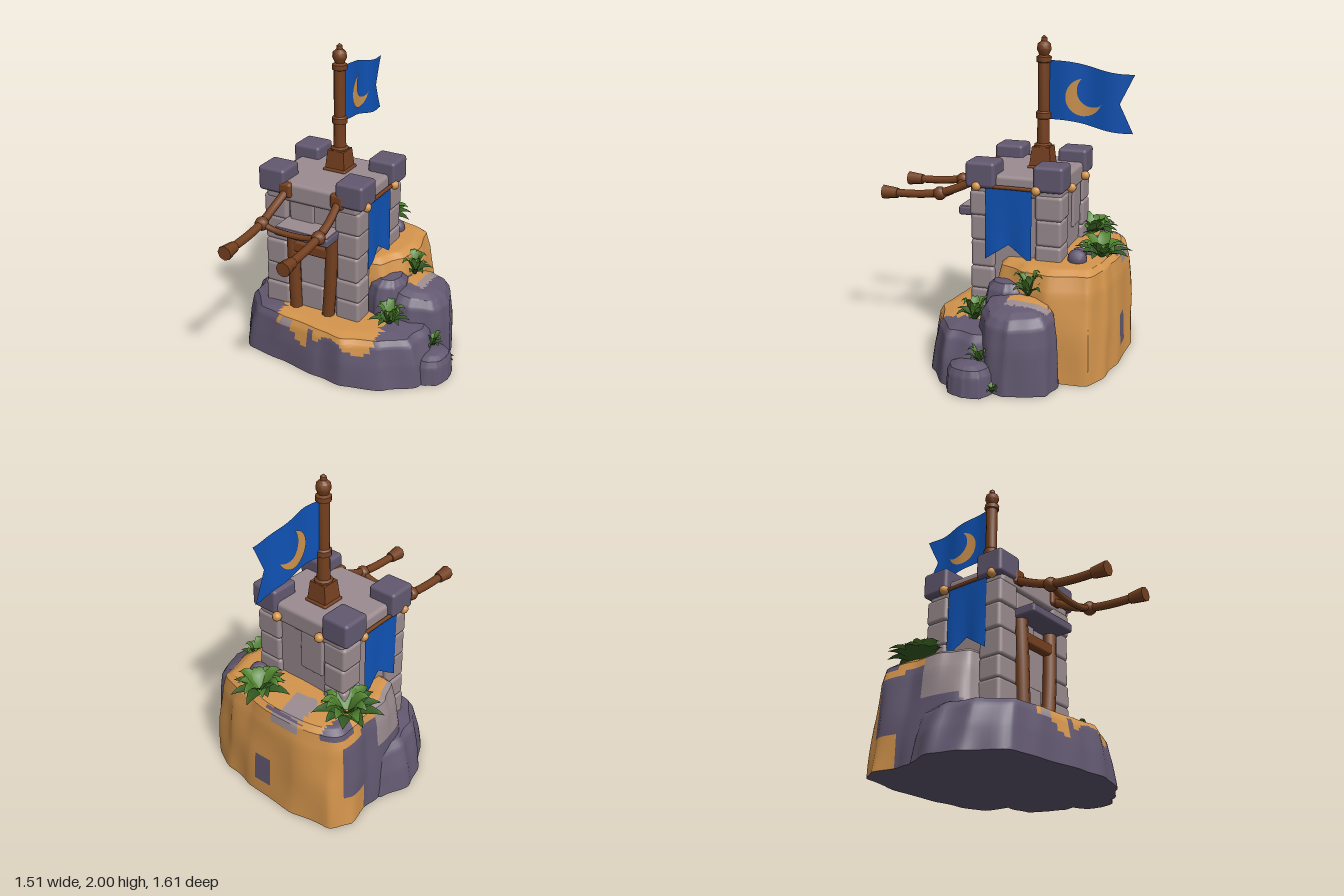
import * as THREE from 'three';
import { toCreasedNormals, mergeGeometries } from 'three/addons/utils/BufferGeometryUtils.js';
import { RoundedBoxGeometry } from 'three/addons/geometries/RoundedBoxGeometry.js';

const mat = (name, color, side = THREE.FrontSide) => {
  const m = new THREE.MeshStandardMaterial({ color, side });
  m.name = name;
  return m;
};

// Surface from rows of points: fn(u, v) -> [x, y, z]; paint(x, y, z) picks a material group
function grid(nu, nv, fn, paint) {
  const pos = [], faces = [];
  for (let j = 0; j <= nv; j++) for (let i = 0; i <= nu; i++) pos.push(...fn(i / nu, j / nv));
  for (let j = 0; j < nv; j++) for (let i = 0; i < nu; i++) {
    const a = j * (nu + 1) + i, b = a + 1, d = a + nu + 1, c = d + 1;
    const mid = k => (pos[a * 3 + k] + pos[b * 3 + k] + pos[c * 3 + k] + pos[d * 3 + k]) / 4;
    faces.push({ m: paint ? paint(mid(0), mid(1), mid(2)) : 0, t: [a, d, b, b, d, c] });
  }
  faces.sort((p, q) => p.m - q.m);
  const g = new THREE.BufferGeometry();
  g.setAttribute('position', new THREE.Float32BufferAttribute(pos, 3));
  g.setIndex(faces.flatMap(f => f.t));
  if (paint) for (let m = 0, s = 0; m < 3; m++) {
    const n = faces.filter(f => f.m === m).length * 6;
    if (n) g.addGroup(s, n, m);
    s += n;
  }
  g.computeVertexNormals();
  return g;
}

export function createModel() {
  const root = new THREE.Group();
  const slate = mat('slate', 0x625870), stone = mat('stone', 0x9a8b8f), sand = mat('sand', 0xd3944c);
  const wood = mat('wood', 0x75401f), blue = mat('blueCloth', 0x1053b6, THREE.DoubleSide);
  const gold = mat('goldCloth', 0xd0954f, THREE.DoubleSide);
  const green = mat('leafGreen', 0x4f822d, THREE.DoubleSide), darkGreen = mat('leafDark', 0x365e24, THREE.DoubleSide);
  let seed = 7;
  const rnd = () => (seed = (seed * 16807) % 2147483647) / 2147483647 - 0.5;

  const add = (name, geo, m, x = 0, y = 0, z = 0) => {
    const mesh = new THREE.Mesh(geo, m);
    mesh.name = name;
    mesh.position.set(x, y, z);
    root.add(mesh);
    return mesh;
  };
  const block = (name, m, x0, x1, y0, y1, z0, z1, r = 0.018) => add(name,
    new RoundedBoxGeometry(x1 - x0, y1 - y0, z1 - z0, 2, r), m, (x0 + x1) / 2, (y0 + y1) / 2, (z0 + z1) / 2);
  const limb = (name, pts, r, m = wood) => add(name, new THREE.TubeGeometry(
    new THREE.CatmullRomCurve3(pts.map(p => new THREE.Vector3(...p))), 14, r, 8), m);
  const ball = (name, m, x, y, z, r) => add(name, new THREE.SphereGeometry(r, 10, 7), m, x, y, z);

  // Rocks: an outline [x, z] lofted through levels [y, scale]
  const SLATE = 0, STONE = 1, SAND = 2;
  function rock(name, outline, levels, paint = () => SLATE, tilt = 0) {
    const curve = new THREE.CatmullRomCurve3(outline.map(p => new THREE.Vector3(p[0], 0, p[1])), true, 'catmullrom', 0.25);
    const cx = outline.reduce((s, p) => s + p[0], 0) / outline.length;
    const cz = outline.reduce((s, p) => s + p[1], 0) / outline.length;
    const prof = [[0, 0.002], [0, 1], ...levels, [levels.at(-1)[0] + 0.01, 0.002]];
    const sub = 6, nv = (prof.length - 1) * sub;
    const geo = grid(96, nv, (u, v) => {
      const k = Math.min(Math.floor(v * nv / sub + 1e-6), prof.length - 2), f = v * nv / sub - k;
      const y = prof[k][0] + (prof[k + 1][0] - prof[k][0]) * f;
      let s = prof[k][1] + (prof[k + 1][1] - prof[k][1]) * f;
      const p = curve.getPoint(u % 1), a = u * Math.PI * 2;
      s *= 1 + 0.012 * Math.sin(a * 13 + y * 4) + 0.01 * Math.sin(a * 7 - y * 9);
      const x = cx + (p.x - cx) * s;
      return [x, y * (1 + tilt * (x - cx)), cz + (p.z - cz) * s];
    }, paint);
    return add(name, toCreasedNormals(geo, 0.6), [slate, stone, sand]);
  }

  rock('baseRock', [[0.66, -0.02], [0.62, 0.16], [0.45, 0.29], [0.2, 0.38], [0, 0.36], [-0.3, 0.32], [-0.54, 0.28],
    [-0.69, 0.09], [-0.75, -0.1], [-0.7, -0.3], [-0.4, -0.45], [0.2, -0.45], [0.6, -0.3]],
  [[0.15, 0.96], [0.28, 0.9], [0.315, 0.85], [0.33, 0.7]], (x, y, z) => {
    const edge = 0.25 + 0.04 * Math.sin(x * 17);
    if (z < 0 || y < edge - (x < -0.08 ? 0.03 : 0) || x < -0.33 || x > 0.36) return SLATE;
    if (x > -0.1 && x < -0.03 && y < 0.3) return SLATE;
    return x < -0.2 && x > -0.3 && y < 0.31 ? STONE : SAND;
  });

  rock('cliff', [[0.42, -0.4], [0.38, -0.2], [0.28, -0.04], [0, 0.02], [-0.4, 0.03], [-0.58, 0.02], [-0.66, -0.15],
    [-0.67, -0.4], [-0.69, -0.6], [-0.6, -0.72], [-0.35, -0.77], [0, -0.76], [0.2, -0.73], [0.37, -0.66]],
  [[0.3, 0.97], [0.55, 0.92], [0.65, 0.87], [0.68, 0.79], [0.69, 0.5]], (x, y, z) => {
    if (y < 0.005) return SLATE;
    const q = z - x;
    if (x < -0.4 && z > -0.3 && y < 0.67) return y < 0.38 && x < -0.6 ? SLATE : STONE;
    if (x < -0.5 && q > 0.02 && q < 0.24 && y > 0.2 && y < 0.56) return SLATE;
    if (x < -0.57 && z > -0.45 && y < 0.6) return SLATE;
    if (z < -0.6 && x > -0.2 && x < -0.04 && y > 0.12 && y < 0.32) return SLATE;
    if (y > 0.66 && x < -0.1 && z < -0.695) return SLATE;
    if (y > 0.62 && x < -0.52 && z < -0.5) return SLATE;
    if (y > 0.6 && x > -0.37 && x < -0.2 && z < -0.5) return STONE;
    return SAND;
  });

  rock('sideBoulder', [[0.66, -0.25], [0.62, -0.1], [0.45, 0], [0.28, -0.02], [0.2, -0.2], [0.26, -0.4], [0.42, -0.5], [0.58, -0.46]],
    [[0.3, 0.95], [0.43, 0.88], [0.48, 0.74], [0.5, 0.5]],
    (x, y, z) => y > 0.46 && x > 0.36 && x < 0.48 && z < -0.18 ? (x > 0.43 ? STONE : SAND) : SLATE, -0.4);
  rock('upperBoulder', [[0.4, -0.14], [0.36, -0.02], [0.25, 0.02], [0.15, -0.04], [0.15, -0.2], [0.28, -0.28], [0.37, -0.24]],
    [[0.45, 0.95], [0.53, 0.82], [0.57, 0.55]]);
  rock('smallBoulder', [[0.75, -0.02], [0.72, 0.08], [0.63, 0.13], [0.52, 0.08], [0.52, -0.1], [0.62, -0.17], [0.73, -0.12]],
    [[0.12, 0.93], [0.16, 0.8], [0.18, 0.5]]);
  for (const [x, z, r] of [[0.12, -0.52, 0.06], [0.03, -0.51, 0.045], [-0.03, -0.56, 0.03]])
    add('pebble', new THREE.DodecahedronGeometry(r, 1), slate, x, 0.7, z);

  // Tower core, corner stones and battlements
  block('towerCore', stone, -0.45, 0.16, 0.28, 1.18, -0.41, 0.11);
  block('towerFloor', stone, -0.47, 0.18, 1.06, 1.19, -0.43, 0.145, 0.025);
  for (const x of [-0.405, 0.105]) for (const z of [-0.355, 0.065]) {
    const heights = [0.28, 0.46, 0.6, 0.77, 0.93, 1.08];
    for (let i = 0; i < 5; i++) {
      const w = 0.08 + rnd() * 0.016 + (i === 0 ? 0.006 : 0), d = 0.08 + rnd() * 0.014;
      block('cornerStone', stone, x - w, x + w, heights[i], heights[i + 1] + 0.006, z - d, z + d, 0.022);
    }
  }
  for (const x of [-0.42, 0.125]) for (const z of [-0.355, 0.07])
    block('battlement', slate, x - 0.094, x + 0.094, 1.11, 1.27, z - 0.096, z + 0.092, 0.022);
  for (const z of [-0.41, 0.11]) {
    block('wallStone', stone, -0.25, -0.07, 0.3, 0.5, z - 0.02, z + 0.02);
    block('wallStone', stone, -0.31, -0.14, 0.81, 1.07, z - 0.015, z + 0.015, 0.012);
  }

  // Doorway timber and stone canopy
  limb('leftPost', [[0.0, 0.9, 0.135], [-0.01, 0.6, 0.14], [-0.03, 0.32, 0.14]], 0.042);
  limb('rightPost', [[-0.285, 0.9, 0.135], [-0.275, 0.6, 0.14], [-0.265, 0.32, 0.14]], 0.042);
  block('lintel', wood, -0.29, 0.0, 0.735, 0.81, 0.11, 0.17, 0.015);
  block('canopy', slate, -0.34, 0.045, 0.88, 0.938, 0.08, 0.275, 0.015);
  block('canopyTop', stone, -0.33, 0.035, 0.934, 0.942, 0.09, 0.265, 0.003);

  // Projecting arms with a sagging crossbar
  for (const x of [-0.34, 0.055]) {
    const inner = x < -0.1 ? 0.015 : -0.015;
    block('armMount', wood, x + inner - 0.045, x + inner + 0.045, 1.09, 1.19, 0.05, 0.165, 0.02);
    limb('arm', [[x + inner, 1.13, 0.13], [x, 1.06, 0.27], [x, 1.015, 0.4], [x, 0.995, 0.55], [x, 0.99, 0.74]], 0.026);
    ball('armJoint', wood, x, 1.012, 0.395, 0.044);
    const knob = add('armKnob', new THREE.CylinderGeometry(0.046, 0.034, 0.1, 8), wood, x, 0.99, 0.735);
    knob.rotation.x = Math.PI / 2;
  }
  limb('crossbar', [[-0.34, 1.012, 0.395], [-0.24, 0.985, 0.39], [-0.05, 0.985, 0.39], [0.055, 1.012, 0.395]], 0.019);

  // Flagpole
  const pole = [[0.058, 1.3], [0.058, 1.33], [0.042, 1.34], [0.038, 1.49], [0.049, 1.495], [0.049, 1.53], [0.037, 1.54],
    [0.038, 1.835], [0.048, 1.84], [0.048, 1.87], [0.03, 1.88], [0.046, 1.915], [0.042, 1.945], [0.02, 1.965], [0.018, 1.985], [0, 2]];
  add('flagpole', toCreasedNormals(new THREE.LatheGeometry(pole.map(p => new THREE.Vector2(...p)), 10), 0.7), wood, -0.145, 0, -0.22);
  const foot = add('poleFoot', toCreasedNormals(new THREE.CylinderGeometry(0.08, 0.1, 0.14, 4), 0.5), wood, -0.145, 1.25, -0.22);
  foot.rotation.y = Math.PI / 4;
  block('polePlinth', wood, -0.225, -0.065, 1.17, 1.205, -0.3, -0.14, 0.01);

  // Swallowtail flag with a crescent on both faces
  const wave = s => -0.14 + 0.007 * Math.sin(s * 22);
  add('flag', grid(20, 10, (u, v) => {
    const s = 0.25 + u * (0.53 - 0.085 * (1 - Math.abs(2 * v - 1)));
    const top = 1.85 - 0.065 * u + 0.012 * Math.sin(u * 6), low = 1.49 - 0.06 * u + 0.012 * Math.sin(u * 6);
    return [wave(s), low + (top - low) * v, -s];
  }), blue);
  const deg = Math.PI / 180;
  for (const side of [-1, 1]) add('crescent', grid(24, 3, (u, v) => {
    const a = (100 + 240 * u) * deg, b = (136 + 169 * u) * deg;
    const s = (0.475 + 0.114 * Math.cos(a)) * (1 - v) + (0.53 + 0.1 * Math.cos(b)) * v;
    const y = (1.633 + 0.114 * Math.sin(a)) * (1 - v) + (1.675 + 0.1 * Math.sin(b)) * v;
    return [wave(s) + side * 0.005, y, -s];
  }), gold);

  // Side banners, their rods and pegs
  for (const side of [-1, 1]) {
    const x = -0.145 + side * 0.345;
    add('banner', grid(12, 8, (u, v) => {
      const low = 0.665 + 0.1 * (1 - Math.abs(2 * u - 1));
      return [x + side * 0.007 * Math.sin(u * 9) * (1 - v), low + (1.125 - low) * v, 0.04 - 0.295 * u];
    }), blue);
    limb('bannerRod', [[x, 1.12, 0.09], [x, 1.122, -0.1], [x, 1.12, -0.285]], 0.012);
    for (const z of [0.09, -0.285]) ball('bannerPeg', sand, x + side * 0.012, 1.12, z, 0.03);
  }
  for (const x of [-0.31, 0.02]) ball('backPeg', sand, x, 1.11, -0.45, 0.03);

  // Leafy plants: two tiers of folded leaves
  function plant(x, y, z, r, h, n) {
    const tier = (count, reach, rise, turn) => mergeGeometries(Array.from({ length: count }, (_, i) => {
      const len = reach * (1 + rnd() * 0.35), up = rise * (1 + rnd() * 0.4);
      const g = grid(2, 5, (u, t) => {
        const side = (u - 0.5) * 2, w = 0.24 * r * Math.sin(Math.PI * (0.08 + 0.92 * t) ** 0.8);
        return [side * w, up * Math.sin(t * 2.1) + Math.abs(side) * w * 0.45, len * t];
      });
      return g.rotateY((i / count) * Math.PI * 2 + turn + rnd() * 0.3);
    }));
    add('outerLeaves', tier(n, r, h * 0.5, 0), darkGreen, x, y, z);
    add('innerLeaves', tier(n, r * 0.8, h * 0.95, 0.4), green, x, y, z);
  }
  plant(-0.52, 0.66, -0.45, 0.2, 0.11, 10);
  plant(-0.01, 0.68, -0.64, 0.17, 0.11, 9);
  plant(0.37, 0.52, -0.29, 0.11, 0.14, 7);
  plant(0.36, 0.32, 0.05, 0.12, 0.13, 8);
  plant(0.61, 0.17, -0.07, 0.08, 0.09, 6);
  plant(0.67, 0.02, -0.17, 0.05, 0.05, 5);

  return root;
}
